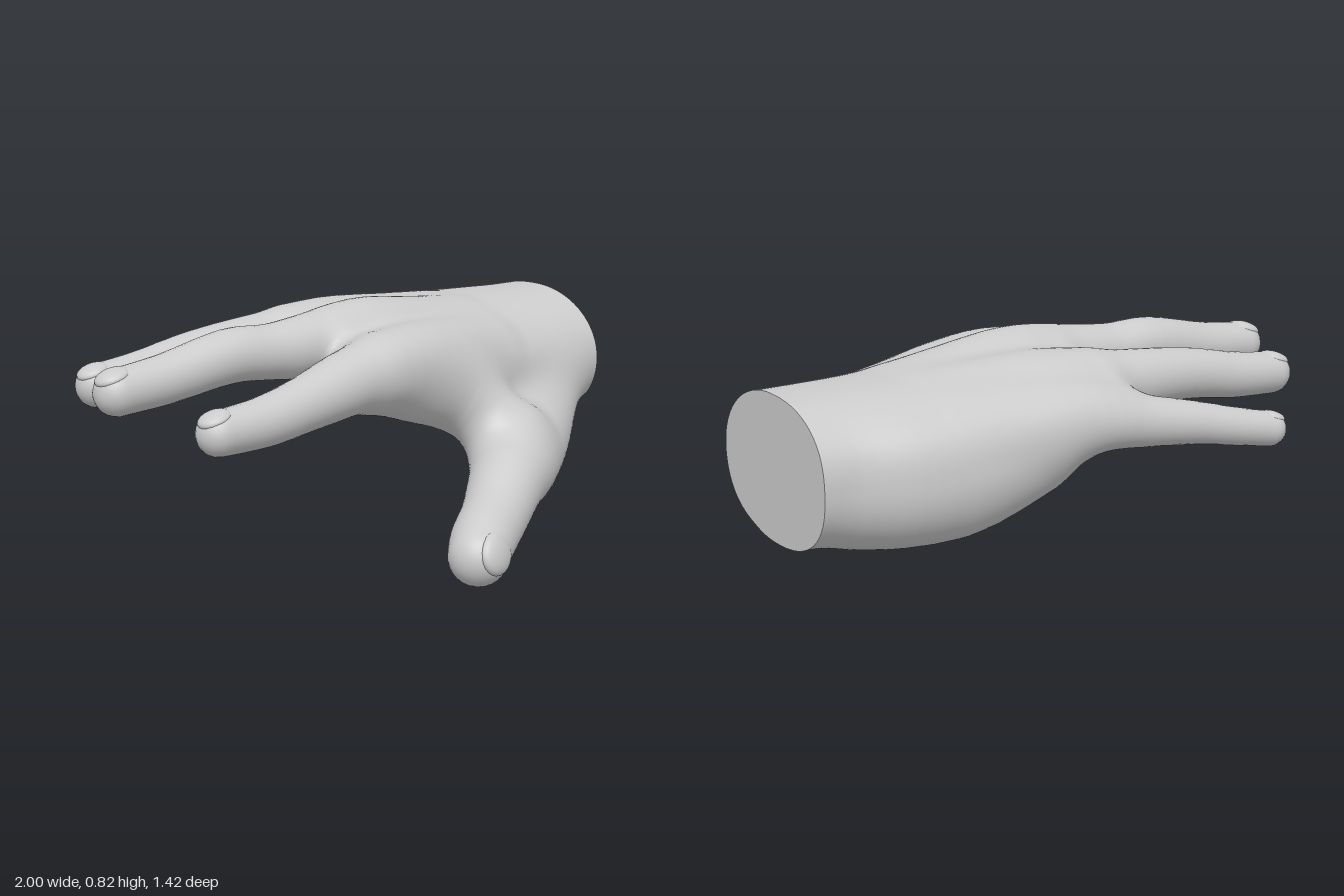
import * as THREE from 'three';

// Rounded limbs as joints from the root to the tip: [x, y, z, radius]
const LIMBS = {
  heelOfHand: [[0.78, 0.45, -0.37, 0.13], [0.5, 0.425, -0.44, 0.135], [0.22, 0.5, -0.46, 0.115]],
  thumbPad: [[0.74, 0.39, -0.13, 0.135], [0.6, 0.34, 0.03, 0.15]],
  thumbWeb: [[-0.08, 0.59, 0.125, 0.09], [0.1, 0.545, 0.12, 0.11], [0.28, 0.49, 0.14, 0.12], [0.42, 0.37, 0.25, 0.11]],
  thumb: [[0.85, 0.43, 0, 0.12], [0.64, 0.302, 0.128, 0.15], [0.42, 0.265, 0.292, 0.15], [0.28, 0.24, 0.397, 0.128],
    [0.15, 0.175, 0.483, 0.112], [0.03, 0.13, 0.557, 0.107], [-0.035, 0.102, 0.605, 0.098]],
  indexFinger: [[0.5, 0.6, 0.03, 0.09], [0.25, 0.635, 0.1, 0.105], [0, 0.645, 0.155, 0.114], [-0.2, 0.62, 0.17, 0.109],
    [-0.42, 0.583, 0.206, 0.089], [-0.6, 0.558, 0.23, 0.08], [-0.775, 0.551, 0.242, 0.072]],
  middleFinger: [[0.5, 0.65, -0.14, 0.09], [0.25, 0.695, -0.11, 0.1], [0.03, 0.71, -0.1, 0.112], [-0.2, 0.692, -0.095, 0.105],
    [-0.34, 0.692, -0.095, 0.092], [-0.5, 0.697, -0.1, 0.09], [-0.74, 0.658, -0.097, 0.081], [-0.922, 0.641, -0.093, 0.076]],
  ringFinger: [[0.5, 0.64, -0.28, 0.09], [0.25, 0.665, -0.31, 0.1], [0, 0.667, -0.345, 0.108], [-0.2, 0.66, -0.358, 0.102],
    [-0.45, 0.65, -0.36, 0.086], [-0.66, 0.617, -0.365, 0.078], [-0.827, 0.602, -0.365, 0.072]],
  littleFinger: [[0.5, 0.59, -0.43, 0.09], [0.28, 0.605, -0.48, 0.1], [0.05, 0.603, -0.54, 0.094], [-0.12, 0.582, -0.562, 0.084],
    [-0.3, 0.558, -0.6, 0.07], [-0.45, 0.53, -0.632, 0.062], [-0.578, 0.507, -0.652, 0.058]],
};

// Palm and wrist cross-sections: [x, centre y, centre z, half height, half width]
const PALM = [[-0.05, 0.64, -0.17, 0.11, 0.37], [0.1, 0.61, -0.18, 0.165, 0.4], [0.3, 0.57, -0.19, 0.2, 0.41],
  [0.5, 0.54, -0.215, 0.228, 0.395], [0.7, 0.52, -0.225, 0.243, 0.37], [0.88, 0.525, -0.215, 0.235, 0.335], [1.05, 0.525, -0.215, 0.235, 0.322]];

const lerp = THREE.MathUtils.lerp;

// Spline every column of a table of rows
function resample(rows) {
  const curves = rows[0].map((_, c) => new THREE.SplineCurve(rows.map((r) => new THREE.Vector2(r[c], 0))));
  const n = (rows.length - 1) * 4;
  return Array.from({ length: n + 1 }, (_, i) => curves.map((c) => c.getPoint(i / n).x));
}
const SECTIONS = resample(PALM);
const CHAINS = Object.fromEntries(Object.entries(LIMBS).map(([name, joints]) => [name, resample(joints)]));

// Union of two distances with a fillet of size k
function blend(a, b, k) {
  const h = Math.max(k - Math.abs(a - b), 0) / k;
  return Math.min(a, b) - h * h * k / 4;
}

// Distance to a chain of round cones
function limbDistance(chain, x, y, z) {
  let d = 9;
  for (let i = 1; i < chain.length; i++) {
    const a = chain[i - 1], b = chain[i], dr = b[3] - a[3];
    const ux = b[0] - a[0], uy = b[1] - a[1], uz = b[2] - a[2], l2 = ux * ux + uy * uy + uz * uz;
    const wx = x - a[0], wy = y - a[1], wz = z - a[2], dot = wx * ux + wy * uy + wz * uz;
    const off = Math.sqrt(Math.max(0, (wx * wx + wy * wy + wz * wz) * l2 - dot * dot));
    const t = Math.min(1, Math.max(0, (dot + off * dr / Math.sqrt(Math.max(l2 - dr * dr, 1e-6))) / l2));
    const dx = wx - ux * t, dy = wy - uy * t, dz = wz - uz * t;
    d = Math.min(d, Math.sqrt(dx * dx + dy * dy + dz * dz) - a[3] - dr * t);
  }
  return d;
}

// Distance to the palm: superellipse sections, fuller on the little finger side, rounded off under the knuckles
function palmDistance(x, y, z) {
  const cx = Math.min(Math.max(x, PALM[0][0]), 1.05);
  let i = 1;
  while (i < SECTIONS.length - 1 && cx > SECTIONS[i][0]) i++;
  const a = SECTIONS[i - 1], b = SECTIONS[i], t = (cx - a[0]) / (b[0] - a[0]);
  const hy = lerp(a[3], b[3], t), hz = lerp(a[4], b[4], t), dz = z - lerp(a[2], b[2], t);
  const n = dz > 0 ? 2 : 2.4, v = Math.abs(y - lerp(a[1], b[1], t)) / hy, u = Math.abs(dz) / hz;
  const q = Math.max(Math.pow(Math.pow(u, n) + Math.pow(v, n), 1 / n), 0.05);
  const slope = Math.hypot(Math.pow(u, n - 1) / hz, Math.pow(v, n - 1) / hy) * Math.pow(q, 1 - n);
  const d = (q - 1) / Math.max(slope, 1 / hz), r = 0.08, past = Math.max(0, PALM[0][0] - x);
  return past > 0 ? Math.hypot(Math.max(d + r, 0), past) - r : d;
}

function partDistances(x, y, z) {
  const d = { palm: palmDistance(x, y, z) };
  for (const name in CHAINS) d[name] = limbDistance(CHAINS[name], x, y, z);
  return d;
}

// The whole hand: fingers kept apart, everything filleted into the palm
function handDistance(x, y, z) {
  const p = partDistances(x, y, z);
  const fingers = blend(blend(p.indexFinger, p.middleFinger, 0.05), blend(p.ringFinger, p.littleFinger, 0.05), 0.05);
  const palm = blend(blend(p.palm, Math.min(p.heelOfHand, p.thumbPad), 0.12), fingers, 0.09);
  return blend(palm, blend(p.thumb, p.thumbWeb, 0.1), 0.1);
}

function gradient({ x, y, z }) {
  const e = 0.008;
  return new THREE.Vector3(
    handDistance(x + e, y, z) - handDistance(x - e, y, z),
    handDistance(x, y + e, z) - handDistance(x, y - e, z),
    handDistance(x, y, z + e) - handDistance(x, y, z - e)).divideScalar(2 * e);
}

// Skin the form with a grid of quads, split into named parts
function skinParts() {
  const S = 0.018, size = [115, 50, 83];
  const origin = [1 + S / 2 - (size[0] - 1) * S, -0.03, -0.745];
  const step = [1, size[0], size[0] * size[1]];
  const field = new Float32Array(step[2] * size[2]);
  const at = (i, j, k) => i + j * step[1] + k * step[2];
  const each = (from, trim, fn) => {
    for (let k = from; k < size[2] - trim; k++)
      for (let j = from; j < size[1] - trim; j++)
        for (let i = 0; i < size[0] - trim; i++) fn(i, j, k, at(i, j, k));
  };
  each(0, 0, (i, j, k, id) => {
    const x = origin[0] + i * S;
    field[id] = Math.max(handDistance(x, origin[1] + j * S, origin[2] + k * S), x - 1);
  });

  // One point per cell that the surface crosses, pulled onto the surface
  const points = new Map();
  each(0, 1, (i, j, k, id) => {
    const sum = new THREE.Vector3();
    let count = 0, rim = false;
    for (let c = 0; c < 8; c++) {
      const o = [c & 1, (c >> 1) & 1, c >> 2], f = field[id + at(...o)];
      if (!o[0] && f > 0) rim = true;
      for (let a = 0; a < 3; a++) {
        if (o[a]) continue;
        const g = field[id + at(...o) + step[a]];
        if ((f < 0) === (g < 0)) continue;
        const q = [...o];
        q[a] = f / (f - g);
        sum.add(new THREE.Vector3(...q));
        count++;
      }
    }
    if (!count) return;
    const p = sum.divideScalar(count).add(new THREE.Vector3(i, j, k)).multiplyScalar(S).add(new THREE.Vector3(...origin));
    const cut = i === size[0] - 2;
    if (cut) p.x = 1;
    if (!cut || rim) {
      const g = gradient(p);
      if (cut) g.x = 0;
      const move = -handDistance(p.x, p.y, p.z) / Math.max(g.lengthSq(), 0.3);
      p.addScaledVector(g, THREE.MathUtils.clamp(move, -S, S));
    }
    points.set(id, { p, n: gradient(p).normalize(), cut });
  });

  // One quad per crossed grid edge
  const parts = {}, capNormal = new THREE.Vector3(1, 0, 0);
  each(1, 1, (i, j, k, id) => {
    for (let a = 0; a < 3; a++) {
      const inside = field[id] < 0;
      if (inside === field[id + step[a]] < 0) continue;
      const b = step[(a + 1) % 3], c = step[(a + 2) % 3];
      const quad = [id, id - b, id - b - c, id - c].map((v) => points.get(v));
      if (quad.includes(undefined)) continue;
      if (!inside) quad.reverse();
      const cap = quad.every((v) => v.cut);
      let name = 'wristCut';
      if (!cap) {
        const m = quad[0].p.clone().add(quad[2].p).multiplyScalar(0.5);
        name = Object.entries(partDistances(m.x, m.y, m.z)).reduce((s, t) => (t[1] < s[1] ? t : s))[0];
      }
      const part = (parts[name] ??= { position: [], normal: [] });
      for (const v of [0, 1, 2, 0, 2, 3]) {
        part.position.push(...quad[v].p.toArray());
        part.normal.push(...(cap ? capNormal : quad[v].n).toArray());
      }
    }
  });
  return parts;
}

// A thin domed nail set into the last joint of a limb, facing the given way
function makeNail(limb, facing, material) {
  const [x, y, z, r] = LIMBS[limb].at(-1);
  const up = new THREE.Vector3(...facing).normalize();
  const tip = new THREE.Vector3(x, y, z);
  const along = tip.clone().sub(new THREE.Vector3(...LIMBS[limb].at(-2)));
  along.addScaledVector(up, -along.dot(up)).normalize();
  const nail = new THREE.Mesh(new THREE.SphereGeometry(1, 24, 16), material);
  nail.quaternion.setFromRotationMatrix(new THREE.Matrix4().makeBasis(along, up, along.clone().cross(up)));
  nail.position.copy(tip).addScaledVector(up, r * 0.7);
  nail.scale.set(r * 0.78, r * 0.34, r * 0.7);
  nail.name = limb + 'Nail';
  return nail;
}

export function createModel() {
  const model = new THREE.Group();
  model.name = 'hand';
  const material = new THREE.MeshStandardMaterial({ color: 0xcccccc });
  for (const [name, data] of Object.entries(skinParts())) {
    const geometry = new THREE.BufferGeometry();
    for (const key in data) geometry.setAttribute(key, new THREE.Float32BufferAttribute(data[key], 3));
    const mesh = new THREE.Mesh(geometry, material);
    mesh.name = name;
    model.add(mesh);
  }
  for (const finger of ['indexFinger', 'middleFinger', 'ringFinger', 'littleFinger'])
    model.add(makeNail(finger, [-0.3, 1, 0], material));
  model.add(makeNail('thumb', [0.25, 0.3, 0.9], material));
  return model;
}
